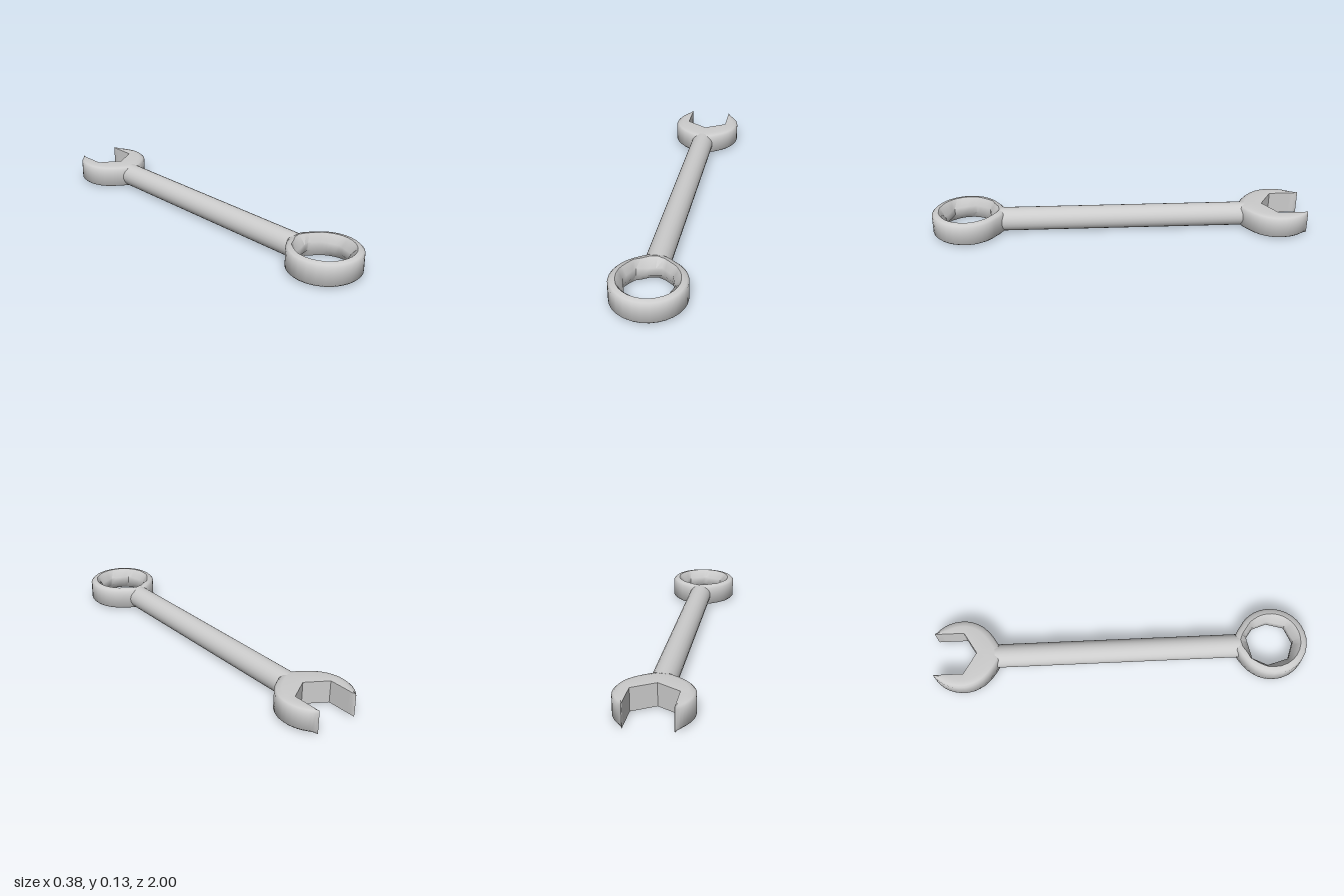
import * as THREE from 'three';
import { toCreasedNormals } from 'three/addons/utils/BufferGeometryUtils.js';

const MID = 0.065; // height of the centre plane

// Subdivides a polyline of [x, z] points.
function subdivide(points, steps, closed) {
  const out = [];
  const count = closed ? points.length : points.length - 1;
  for (let i = 0; i < count; i++) {
    const a = points[i], b = points[(i + 1) % points.length];
    for (let s = 0; s < steps; s++) {
      const t = s / steps;
      out.push([a[0] + (b[0] - a[0]) * t, a[1] + (b[1] - a[1]) * t]);
    }
  }
  if (!closed) out.push(points[points.length - 1]);
  return out;
}

// Sweeps a rounded section between an inner outline and a circle.
// neck is the direction of the handle (+1 or -1 along z), where the rim comes to a soft point.
function headGeometry({ centerZ, radius, inner, steps, closed, neck, innerHalf }) {
  const pts = subdivide(inner, steps, closed);
  const pos = [], index = [];
  let n = 0;
  for (const [x, z] of pts) {
    const dz = z - centerZ;
    const len = Math.hypot(x, dz);
    const ux = x / len, uz = dz / len;
    const bulge = uz * neck > 0 ? 0.022 * Math.max(0, 1 - Math.abs(ux) / 0.5) : 0;
    const rim = radius + bulge;
    const width = rim - len;
    // [distance inside the rim, half height], from hole to rim
    const half = [
      [width, innerHalf],
      [Math.min(0.035, width * 0.6), 0.062],
      [Math.min(0.010, width * 0.25), 0.056],
      [0, 0.046],
    ];
    const section = [
      ...half.map(([d, h]) => [d, -h]),
      ...half.slice().reverse(),
    ];
    n = section.length;
    for (const [d, y] of section) {
      pos.push(ux * (rim - d), MID + y, centerZ + uz * (rim - d));
    }
  }
  const rows = pts.length;
  for (let i = 0; i < (closed ? rows : rows - 1); i++) {
    for (let j = 0; j < n; j++) {
      const k = (j + 1) % n, m = (i + 1) % rows;
      const a = i * n + j, b = i * n + k, c = m * n + k, d = m * n + j;
      index.push(a, b, d, b, c, d);
    }
  }
  if (!closed) {
    const e = (rows - 1) * n;
    for (let j = 1; j < n - 1; j++) index.push(0, j + 1, j, e, e + j, e + j + 1);
  }
  const g = new THREE.BufferGeometry();
  g.setAttribute('position', new THREE.Float32BufferAttribute(pos, 3));
  g.setIndex(index);
  return toCreasedNormals(g, 0.9);
}

export function createModel() {
  const group = new THREE.Group();
  group.name = 'wrench';
  const steel = new THREE.MeshStandardMaterial({ color: 0xcccccc });
  steel.name = 'light steel grey';

  const add = (name, geometry) => {
    const mesh = new THREE.Mesh(geometry, steel);
    mesh.name = name;
    group.add(mesh);
    return mesh;
  };

  // Round bar between the two heads
  const z0 = -0.68, z1 = 0.635;
  const bar = new THREE.CylinderGeometry(0.063, 0.063, z1 - z0, 24);
  bar.rotateX(Math.PI / 2);
  add('handle', bar).position.set(-0.002, MID, (z0 + z1) / 2);

  // Closed ring with a slightly uneven faceted hole, flared towards both faces
  add('ringHead', headGeometry({
    centerZ: 0.812, radius: 0.187, steps: 4, closed: true, neck: -1, innerHalf: 0.02,
    inner: [
      [0.122, 0.80], [0.095, 0.894], [0.005, 0.93], [-0.095, 0.894],
      [-0.127, 0.78], [-0.085, 0.70], [0.037, 0.677], [0.095, 0.72],
    ],
  }));

  // Open jaw with parallel sides and a V-shaped seat
  add('openJaw', headGeometry({
    centerZ: -0.855, radius: 0.189, steps: 8, closed: false, neck: 1, innerHalf: 0.059,
    inner: [
      [0.115, -1], [0.115, -0.845], [0, -0.775], [-0.115, -0.845], [-0.115, -1],
    ],
  }));

  return group;
}
